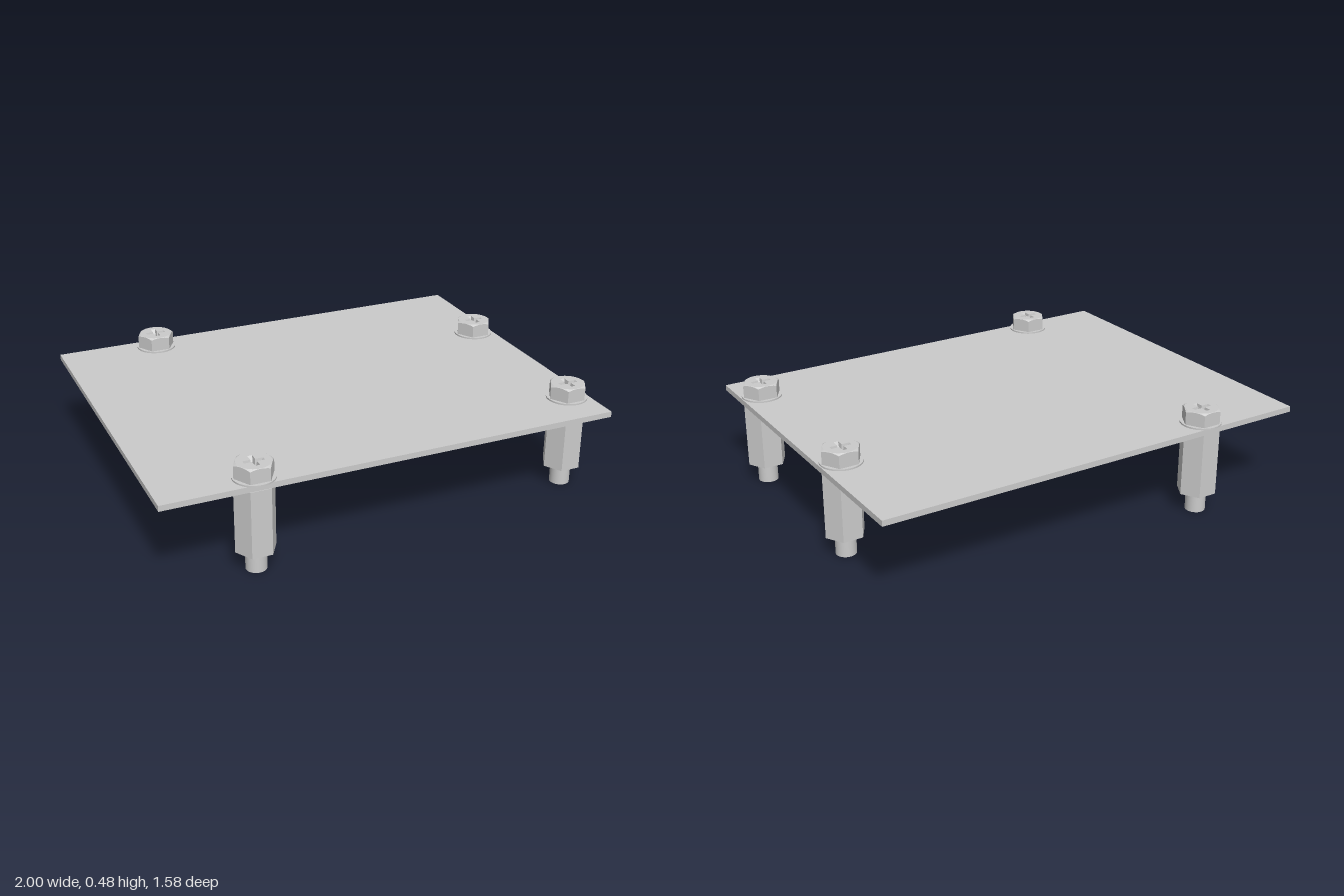
import * as THREE from 'three';

const flat = new THREE.MeshStandardMaterial({ color: 0xcccccc, flatShading: true });
const smooth = new THREE.MeshStandardMaterial({ color: 0xcccccc });

const BOARD_BOTTOM = 0.385, BOARD_TOP = 0.41, WASHER_TOP = 0.417, HEAD_TOP = 0.479;
const HEAD_FLAT = 0.073;   // centre to flat of the screw head
const SEGMENTS = 48;

function add(parent, name, geometry, material, y = 0) {
  const mesh = new THREE.Mesh(geometry, material);
  mesh.name = name;
  mesh.position.y = y;
  parent.add(mesh);
  return mesh;
}

// Outline of the cross slot, counter-clockwise, with arm length a and half width w
function crossPoints(a, w) {
  return [
    [a, -w], [a, w], [w, w], [w, a], [-w, a], [-w, w],
    [-a, w], [-a, -w], [-w, -w], [-w, -a], [w, -a], [w, -w],
  ].map(([x, y]) => new THREE.Vector2(x, y));
}

// Hexagonal wall whose corners are trimmed by a conical chamfer at the top
function headWall() {
  const h = HEAD_TOP - WASHER_TOP;
  const geo = new THREE.CylinderGeometry(1, 1, h, SEGMENTS, 2, true);
  const pos = geo.attributes.position;
  const rim = HEAD_FLAT * 0.98;
  for (let i = 0; i < pos.count; i++) {
    const x = pos.getX(i), z = pos.getZ(i), y = pos.getY(i);
    const angle = Math.atan2(z, x) + 2 * Math.PI;
    const hex = HEAD_FLAT / Math.cos((angle % (Math.PI / 3)) - Math.PI / 6);
    const r = y > h / 4 ? rim : hex;
    const newY = y > h / 4 ? h : y < -h / 4 ? 0 : h - (hex - rim) * 0.6;
    pos.setXYZ(i, x * r, newY, z * r);
  }
  return geo;
}

// Flat top of the head with the cross cut out
function headTop() {
  const shape = new THREE.Shape();
  shape.absarc(0, 0, HEAD_FLAT * 0.98, 0, Math.PI * 2);
  shape.holes.push(new THREE.Path(crossPoints(0.043, 0.01).reverse()));
  return new THREE.ShapeGeometry(shape, SEGMENTS / 2).rotateX(-Math.PI / 2);
}

// Sloping walls of the cross recess
function recessWalls(depth) {
  const top = crossPoints(0.043, 0.01), low = crossPoints(0.022, 0.005);
  const verts = [];
  top.forEach((a, i) => {
    const j = (i + 1) % top.length;
    const b = top[j], c = low[j], d = low[i];
    verts.push(a.x, a.y, 0, b.x, b.y, 0, c.x, c.y, -depth);
    verts.push(a.x, a.y, 0, c.x, c.y, -depth, d.x, d.y, -depth);
  });
  const geo = new THREE.BufferGeometry();
  geo.setAttribute('position', new THREE.Float32BufferAttribute(verts, 3));
  geo.computeVertexNormals();
  return geo.rotateX(-Math.PI / 2);
}

function createStandoff() {
  const group = new THREE.Group();

  // Threaded end that stands on the ground
  add(group, 'stud', new THREE.CylinderGeometry(0.044, 0.044, 0.1, 32), smooth, 0.05);

  // Hexagonal pillar, corners along x
  const height = BOARD_BOTTOM - 0.09;
  const pillar = new THREE.CylinderGeometry(0.087, 0.087, height, 6).rotateY(Math.PI / 6);
  add(group, 'hexPillar', pillar, flat, 0.09 + height / 2);

  // Washer and screw above the board
  const thick = WASHER_TOP - BOARD_TOP;
  add(group, 'washer', new THREE.CylinderGeometry(0.089, 0.089, thick, SEGMENTS), smooth, BOARD_TOP + thick / 2);
  const depth = 0.035;
  add(group, 'screwHead', headWall(), flat, WASHER_TOP);
  add(group, 'screwHeadTop', headTop(), flat, HEAD_TOP);
  add(group, 'crossRecess', recessWalls(depth), flat, HEAD_TOP);
  const floor = new THREE.ShapeGeometry(new THREE.Shape(crossPoints(0.022, 0.005))).rotateX(-Math.PI / 2);
  add(group, 'recessFloor', floor, flat, HEAD_TOP - depth);
  return group;
}

export function createModel() {
  const model = new THREE.Group();
  model.name = 'boardOnStandoffs';

  // Flat board
  const board = add(model, 'board', new THREE.BoxGeometry(2, BOARD_TOP - BOARD_BOTTOM, 1.55), flat,
    (BOARD_TOP + BOARD_BOTTOM) / 2);
  board.position.z = -0.003;

  // Four standoffs in their uneven mounting pattern
  const spots = [
    ['backRightStandoff', -0.557, -0.7],
    ['backLeftStandoff', 0.907, -0.246],
    ['frontLeftStandoff', 0.907, 0.57],
    ['frontRightStandoff', -0.595, 0.7],
  ];
  for (const [name, x, z] of spots) {
    const standoff = createStandoff();
    standoff.name = name;
    standoff.position.set(x, 0, z);
    model.add(standoff);
  }
  return model;
}
